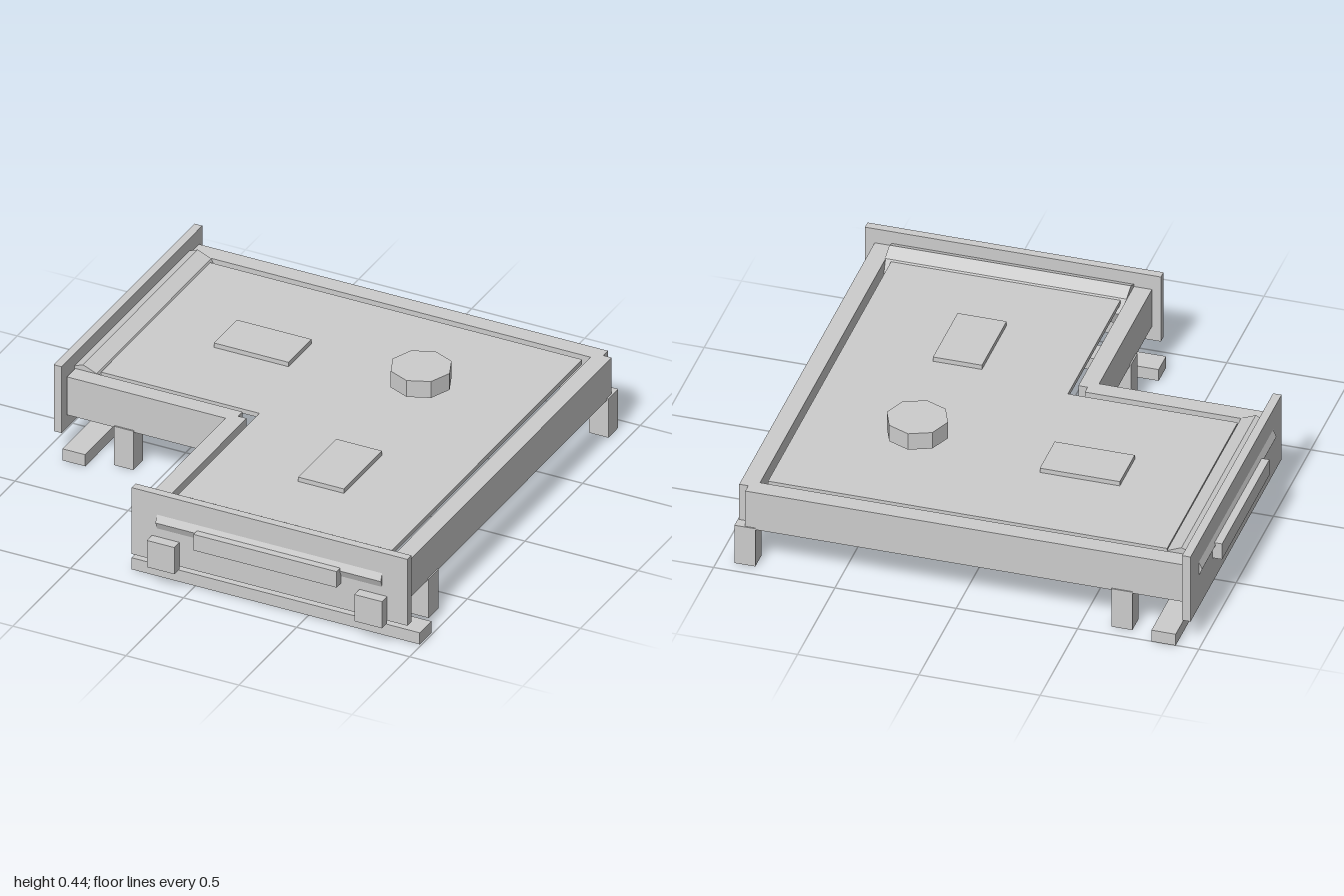
import * as THREE from 'three';

export function createModel() {
  const model = new THREE.Group();
  model.name = 'cornerTable';
  const grey = new THREE.MeshStandardMaterial({ color: 0xcccccc, flatShading: true });
  grey.name = 'lightGrey';

  const add = (parent, name, geometry) => {
    const mesh = new THREE.Mesh(geometry, grey);
    mesh.name = name;
    parent.add(mesh);
    return mesh;
  };
  // Box given by its limits on each axis
  const box = (parent, name, [x0, x1], [y0, y1], [z0, z1]) =>
    add(parent, name, new THREE.BoxGeometry(x1 - x0, y1 - y0, z1 - z0))
      .position.set((x0 + x1) / 2, (y0 + y1) / 2, (z0 + z1) / 2);

  // L-shaped deck (shape y becomes -z)
  const outline = [[-0.82, -0.84], [0.825, -0.84], [0.825, 0.81], [-0.12, 0.81], [-0.12, 0.107], [-0.82, 0.107]];
  const shape = new THREE.Shape(outline.map(([x, z]) => new THREE.Vector2(x, -z)));
  const deck = new THREE.ExtrudeGeometry(shape, { depth: 0.02, bevelEnabled: false });
  deck.rotateX(-Math.PI / 2);
  add(model, 'deck', deck).position.y = 0.32;

  // Raised details on the deck
  box(model, 'backPlate', [-0.51, -0.18], [0.335, 0.36], [-0.465, -0.265]);
  box(model, 'frontPlate', [0.255, 0.457], [0.335, 0.36], [0.175, 0.505]);
  add(model, 'octagonKnob', new THREE.CylinderGeometry(0.126, 0.126, 0.075, 8))
    .position.set(0.355, 0.3975, -0.365);

  // Side rails, leaving notched corners where they meet
  const railY = [0.17, 0.344];
  box(model, 'backRail', [-0.92, 0.888], railY, [-0.94, -0.865]);
  box(model, 'leftRail', [0.85, 0.925], railY, [-0.9, 0.915]);
  box(model, 'innerRightRail', [-0.92, -0.182], railY, [0.133, 0.207]);
  box(model, 'innerFrontRail', [-0.218, -0.144], railY, [0.17, 0.915]);

  // Square legs under the rails
  for (const [x, z] of [[0.888, -0.902], [0.888, 0.657], [-0.181, 0.657], [-0.666, 0.17], [-0.666, -0.902]])
    box(model, 'leg', [x - 0.043, x + 0.043], [0, 0.178], [z - 0.043, z + 0.043]);

  // Open end assembly: panel, roller, handle and floor bar, facing +z
  const makeEnd = (name) => {
    const end = new THREE.Group();
    end.name = name;
    box(end, 'endPanel', [-0.61, 0.61], [0.106, 0.41], [0.915, 0.95]);
    box(end, 'handleBar', [-0.317, 0.317], [0.223, 0.296], [0.95, 0.99]);
    box(end, 'floorBar', [-0.637, 0.637], [0, 0.053], [0.797, 0.897]);
    const roller = add(end, 'roller', new THREE.CylinderGeometry(0.085, 0.085, 0.996, 8));
    roller.rotation.z = Math.PI / 2;
    roller.position.set(0, 0.285, 0.878);
    model.add(end);
    return end;
  };
  const front = makeEnd('frontEnd');
  front.position.x = 0.355;
  for (const x of [-0.459, 0.459])
    box(front, 'panelBox', [x - 0.061, x + 0.061], [0.094, 0.216], [0.95, 0.995]);
  const side = makeEnd('rightEnd');
  side.rotation.y = -Math.PI / 2;
  side.position.set(-0.008, 0, -0.364);

  return model;
}
